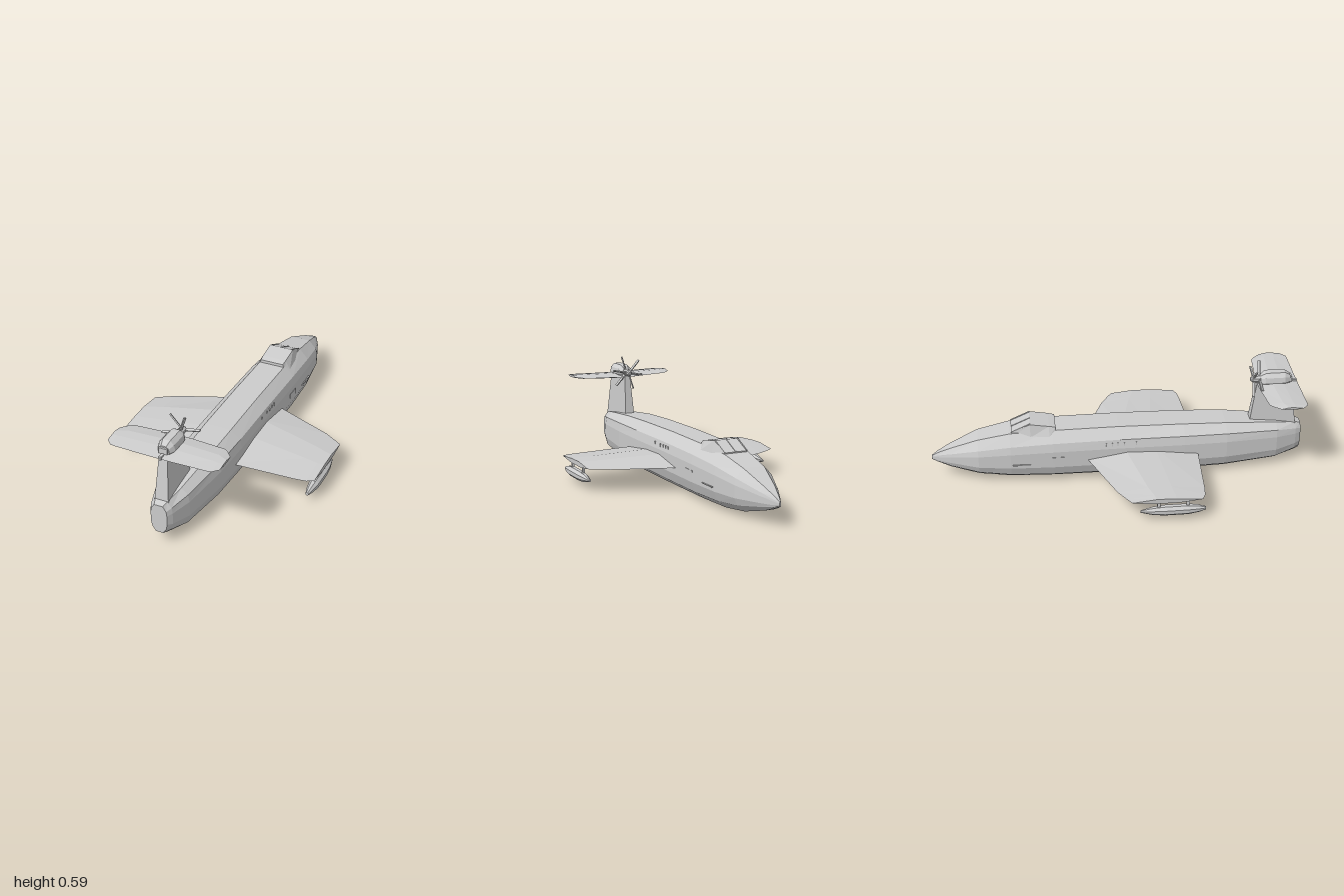
import * as THREE from 'three';

const hull = new THREE.MeshStandardMaterial({ color: 0xcccccc });
hull.name = 'light grey';

// Flat-faceted skin through closed rings of [x, y, z] points, with end caps
function loft(name, rings) {
  const pos = [];
  const tri = (a, b, c) => pos.push(...a, ...b, ...c);
  const n = rings[0].length;
  for (let k = 0; k < rings.length - 1; k++) {
    const a = rings[k], b = rings[k + 1];
    for (let i = 0; i < n; i++) {
      const j = (i + 1) % n;
      tri(a[i], a[j], b[i]);
      tri(a[j], b[j], b[i]);
    }
  }
  const first = rings[0], last = rings[rings.length - 1];
  for (let i = 1; i < n - 1; i++) {
    tri(first[0], first[i + 1], first[i]);
    tri(last[0], last[i], last[i + 1]);
  }
  const g = new THREE.BufferGeometry();
  g.setAttribute('position', new THREE.Float32BufferAttribute(pos, 3));
  g.computeVertexNormals();
  const m = new THREE.Mesh(g, hull);
  m.name = name;
  return m;
}

// Mirror a right-half outline (bottom to top) into a full ring at depth z
function mirrorRing(half, z) {
  const right = half.map(([x, y]) => [x, y, z]);
  const left = half.map(([x, y]) => [-x, y, z]).reverse();
  return [...right, ...left];
}

function box(name, w, h, d, x, y, z) {
  const m = new THREE.Mesh(new THREE.BoxGeometry(w, h, d), hull);
  m.name = name;
  m.position.set(x, y, z);
  return m;
}

// Ring of a round body along z
function circle(r, x, y, z, n = 8) {
  return Array.from({ length: n }, (_, i) => {
    const a = ((i + 0.5) / n) * Math.PI * 2;
    return [x + r * Math.cos(a), y + r * Math.sin(a), z];
  });
}

// Wing section at span x: leading z, trailing z, edge, top and bottom heights
function airfoil(x, z0, z1, edge, top, bottom) {
  const at = (t) => z0 + (z1 - z0) * t;
  return [
    [x, top, at(0.35)], [x, top - (top - edge) * 0.15, at(0.62)], [x, edge, z1],
    [x, bottom, at(0.68)], [x, bottom, at(0.3)], [x, edge, z0],
  ];
}

// Both wings from the sections of one half, tip to tip
function span(name, half) {
  const mirrored = half.map(([x, ...s]) => [-x, ...s]).reverse();
  return loft(name, [...mirrored, ...half].map((s) => airfoil(...s)));
}

export function createModel() {
  const model = new THREE.Group();
  model.name = 'flyingBoat';

  // Fuselage: z, half width, bottom, chine, shoulder, top
  const stations = [
    [-1, 0.005, 0.108, 0.112, 0.125, 0.13],
    [-0.97, 0.02, 0.094, 0.1, 0.137, 0.15],
    [-0.9, 0.053, 0.068, 0.088, 0.16, 0.185],
    [-0.75, 0.107, 0.03, 0.065, 0.2, 0.245],
    [-0.58, 0.128, 0.01, 0.05, 0.225, 0.28],
    [-0.35, 0.137, 0.003, 0.044, 0.238, 0.29],
    [0, 0.137, 0, 0.042, 0.242, 0.292],
    [0.35, 0.137, 0, 0.042, 0.24, 0.286],
    [0.58, 0.13, 0.004, 0.045, 0.237, 0.277],
    [0.86, 0.095, 0.026, 0.055, 0.222, 0.252],
    [0.97, 0.06, 0.057, 0.08, 0.207, 0.236],
    [1, 0.044, 0.068, 0.095, 0.2, 0.226],
  ];
  model.add(loft('fuselage', stations.map(([z, w, b, c, s, t]) => mirrorRing([
    [w * 0.45, b], [w * 0.86, c], [w, c + (s - c) * 0.28],
    [w, c + (s - c) * 0.76], [w * 0.92, s], [w * 0.53, t],
  ], z))));

  // Canopy with sloped windscreen and frame bars
  model.add(loft('canopy', [
    [-0.57, 0.066, 0.255, 0.06, 0.286],
    [-0.47, 0.088, 0.262, 0.07, 0.331],
    [-0.37, 0.096, 0.265, 0.069, 0.314],
    [-0.335, 0.08, 0.27, 0.066, 0.306],
  ].map(([z, bw, by, tw, ty]) => mirrorRing([[bw, by], [tw, ty]], z))));
  for (const x of [-0.062, 0, 0.062]) {
    const bar = box('windscreenFrame', 0.006, 0.006, 0.11, x, 0.309, -0.52);
    bar.rotation.x = -Math.atan2(0.045, 0.1);
    model.add(bar);
  }

  // Main wing and tailplane: x, leading z, trailing z, edge, top, bottom
  model.add(span('wing', [
    [0.1, -0.185, 0.425, 0.134, 0.17, 0.118],
    [0.45, -0.045, 0.407, 0.131, 0.15, 0.117],
    [0.515, -0.005, 0.4, 0.131, 0.147, 0.117],
    [0.553, 0.02, 0.382, 0.131, 0.145, 0.118],
  ]));
  model.add(span('tailplane', [
    [0.06, 0.75, 0.967, 0.476, 0.49, 0.463],
    [0.245, 0.768, 0.967, 0.48, 0.491, 0.47],
    [0.268, 0.785, 0.965, 0.481, 0.491, 0.472],
    [0.298, 0.82, 0.935, 0.482, 0.49, 0.477],
  ]));

  // Fin: y, front z, rear z, front and rear half thickness
  model.add(loft('fin', [
    [0.2, 0.71, 0.972, 0.03, 0.039],
    [0.48, 0.748, 0.932, 0.016, 0.022],
  ].map(([y, f, r, fw, rw]) => [[-rw, y, r], [rw, y, r], [fw, y, f], [-fw, y, f]])));

  // Engine nacelle on top of the fin
  const nacelle = [[0.765, 0.6], [0.79, 0.95], [0.81, 1], [0.895, 1], [0.925, 0.65]];
  model.add(loft('nacelle', nacelle.map(([z, s]) => mirrorRing([
    [0.035 * s, 0.472], [0.046 * s, 0.49], [0.04 * s, 0.49 + 0.03 * s], [0.02 * s, 0.49 + 0.05 * s],
  ], z))));
  model.add(box('exhaust', 0.045, 0.03, 0.03, 0, 0.5, 0.92));
  model.add(box('tailStem', 0.014, 0.02, 0.05, 0, 0.477, 0.94));

  // Contra-rotating propellers facing forward
  model.add(loft('spinner', [
    circle(0.008, 0, 0.5, 0.712), circle(0.019, 0, 0.5, 0.725),
    circle(0.021, 0, 0.5, 0.775),
  ]));
  [[0.761, 72], [0.732, 132]].forEach(([z, start], row) => {
    const prop = new THREE.Group();
    prop.name = row ? 'frontPropeller' : 'rearPropeller';
    prop.position.set(0, 0.5, z);
    for (let i = 0; i < 3; i++) {
      const arm = new THREE.Group();
      arm.rotation.z = THREE.MathUtils.degToRad(start + i * 120);
      const blade = box('blade', 0.087, 0.007, 0.013, 0.054, 0, 0);
      blade.rotation.x = row ? 0.5 : -0.5;
      arm.add(blade);
      prop.add(arm);
    }
    model.add(prop);
  });

  // Wing floats, struts and small side fittings, mirrored
  for (const s of [-1, 1]) {
    model.add(loft('float', [
      [0.065, 0.006], [0.13, 0.022], [0.19, 0.028], [0.31, 0.028], [0.365, 0.02], [0.403, 0.009],
    ].map(([z, r]) => circle(r, s * 0.525, 0.056, z))));
    for (const z of [0.16, 0.31]) {
      const strut = box('floatStrut', 0.012, 0.055, 0.016, s * 0.521, 0.1, z);
      strut.rotation.z = s * 0.1;
      model.add(strut);
    }
    model.add(box('door', 0.004, 0.036, 0.08, s * 0.137, 0.142, -0.32));
    model.add(box('sideRail', 0.012, 0.005, 0.11, s * 0.13, 0.12, -0.515));
    for (const z of [0.09, 0.025, -0.01, -0.04, -0.07]) {
      model.add(box('vent', 0.008, 0.018, 0.005, s * 0.131, 0.218, z));
    }
  }
  return model;
}
